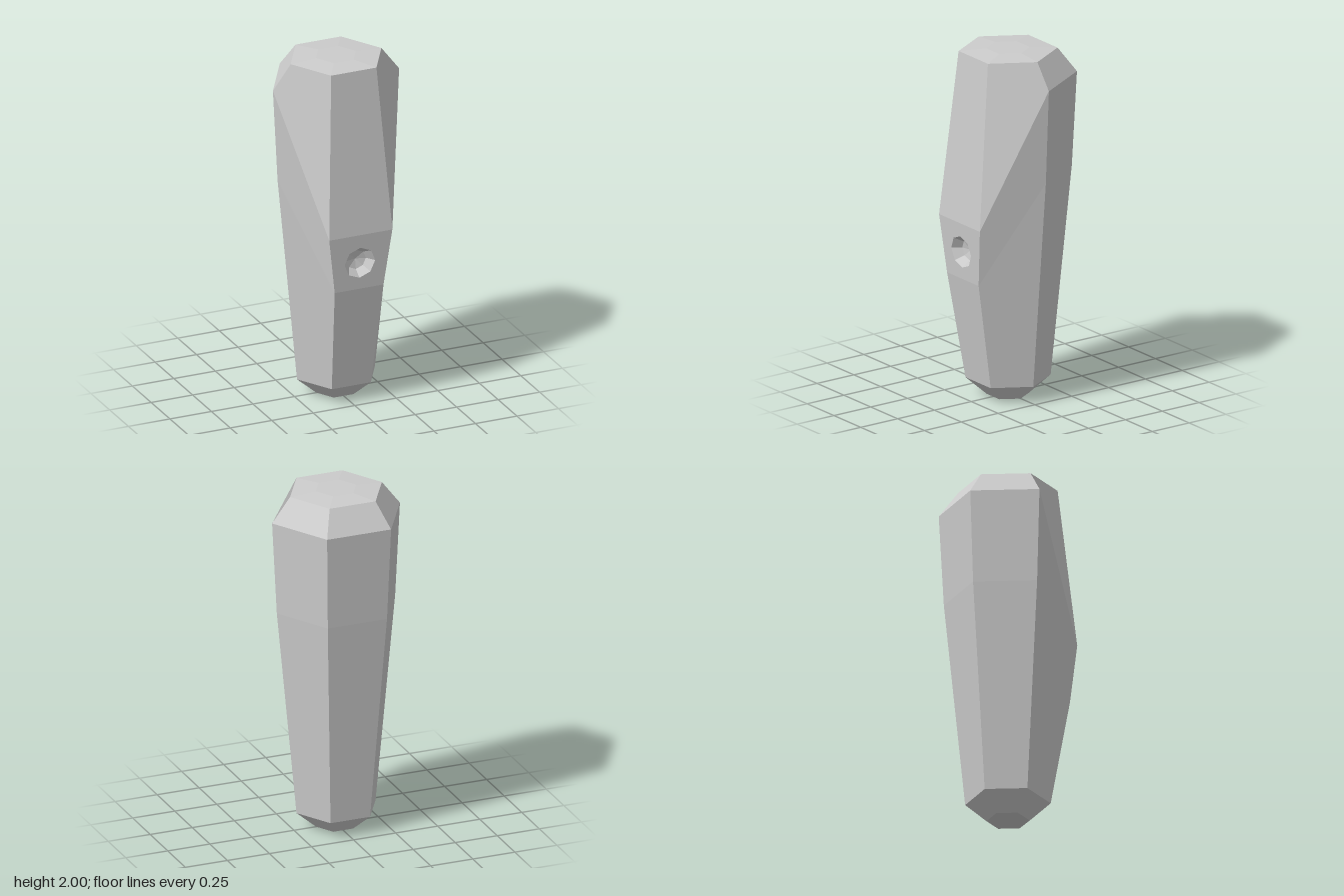
import * as THREE from 'three';

const SIDES = 6;
// Radius and height of each hexagonal ring, bottom to top
const RINGS = [[0.118, 0], [0.235, 0.1], [0.352, 1.31], [0.38, 1.85], [0.273, 1.99], [0.12, 2]];
// Front corners (x, y, z) that replace rings 2 and 3 to form the bulge
const FRONT = { 2: [0.147, 0.72, 0.307], 3: [0.19, 1.05, 0.33] };
const HOLE = { y: 0.88, r: 0.092 };

// Corner k of ring r: 0 is +x, 1 and 2 are the front corners
function corner(r, k) {
  k %= SIDES;
  if (FRONT[r] && (k === 1 || k === 2)) {
    const [x, y, z] = FRONT[r];
    return new THREE.Vector3(k === 1 ? x : -x, y, z);
  }
  const a = (k * Math.PI) / 3;
  const [radius, y] = RINGS[r];
  return new THREE.Vector3(radius * Math.cos(a), y, radius * Math.sin(a));
}

// Each polygon is fanned from its first corner and shaded as one facet
function facets(polygons) {
  const pos = [], nor = [];
  for (const p of polygons) {
    const n = p[2].clone().sub(p[0]).cross(p[3].clone().sub(p[1])).normalize();
    for (let i = 1; i < p.length - 1; i++) {
      for (const v of [p[0], p[i], p[i + 1]]) {
        pos.push(v.x, v.y, v.z);
        nor.push(n.x, n.y, n.z);
      }
    }
  }
  const g = new THREE.BufferGeometry();
  g.setAttribute('position', new THREE.Float32BufferAttribute(pos, 3));
  g.setAttribute('normal', new THREE.Float32BufferAttribute(nor, 3));
  return g;
}

// Lean a geometry drawn in the xy plane onto the tilted front panel
function leanOnPanel(g) {
  const [, y0, z0] = FRONT[2], [, y1, z1] = FRONT[3];
  const p = g.attributes.position;
  for (let i = 0; i < p.count; i++) {
    p.setZ(i, p.getZ(i) + z0 + ((p.getY(i) - y0) * (z1 - z0)) / (y1 - y0));
  }
  g.computeVertexNormals();
  return g;
}

export function createModel() {
  const group = new THREE.Group();
  const grey = new THREE.MeshStandardMaterial({ color: 0xcccccc });
  const flat = new THREE.MeshStandardMaterial({ color: 0xcccccc, flatShading: true });
  const add = (name, geometry, material) => {
    const mesh = new THREE.Mesh(geometry, material);
    mesh.name = name;
    group.add(mesh);
  };

  // Faceted body, leaving out the front panel that holds the recess
  const polygons = [];
  for (let r = 0; r < RINGS.length - 1; r++) {
    for (let k = 0; k < SIDES; k++) {
      if (r === 2 && k === 1) continue;
      const quad = [corner(r, k + 1), corner(r, k), corner(r + 1, k), corner(r + 1, k + 1)];
      if (k === 0) quad.push(quad.shift()); // mirror the diagonal on the left side
      polygons.push(quad);
    }
  }
  const ring = (r) => Array.from({ length: SIDES }, (_, k) => corner(r, k));
  polygons.push(ring(0), ring(RINGS.length - 1).reverse());
  add('body', facets(polygons), grey);

  // Front panel with an octagonal opening
  const [xLow, yLow] = FRONT[2], [xHigh, yHigh] = FRONT[3];
  const panel = new THREE.Shape([
    new THREE.Vector2(-xLow, yLow), new THREE.Vector2(xLow, yLow),
    new THREE.Vector2(xHigh, yHigh), new THREE.Vector2(-xHigh, yHigh),
  ]);
  const rim = Array.from({ length: 8 }, (_, i) => {
    const a = (i * Math.PI) / 4;
    return new THREE.Vector2(HOLE.r * Math.cos(a), HOLE.y + HOLE.r * Math.sin(a));
  });
  panel.holes.push(new THREE.Path(rim));
  add('frontPanel', leanOnPanel(new THREE.ShapeGeometry(panel)), flat);

  // Eight-sided bowl sunk into the opening
  const profile = [[HOLE.r, 0], [0.058, -0.05], [0, -0.065]].map(([x, y]) => new THREE.Vector2(x, y));
  const bowl = new THREE.LatheGeometry(profile, 8).rotateX(Math.PI / 2).translate(0, HOLE.y, 0);
  add('recess', leanOnPanel(bowl), flat);

  return group;
}
